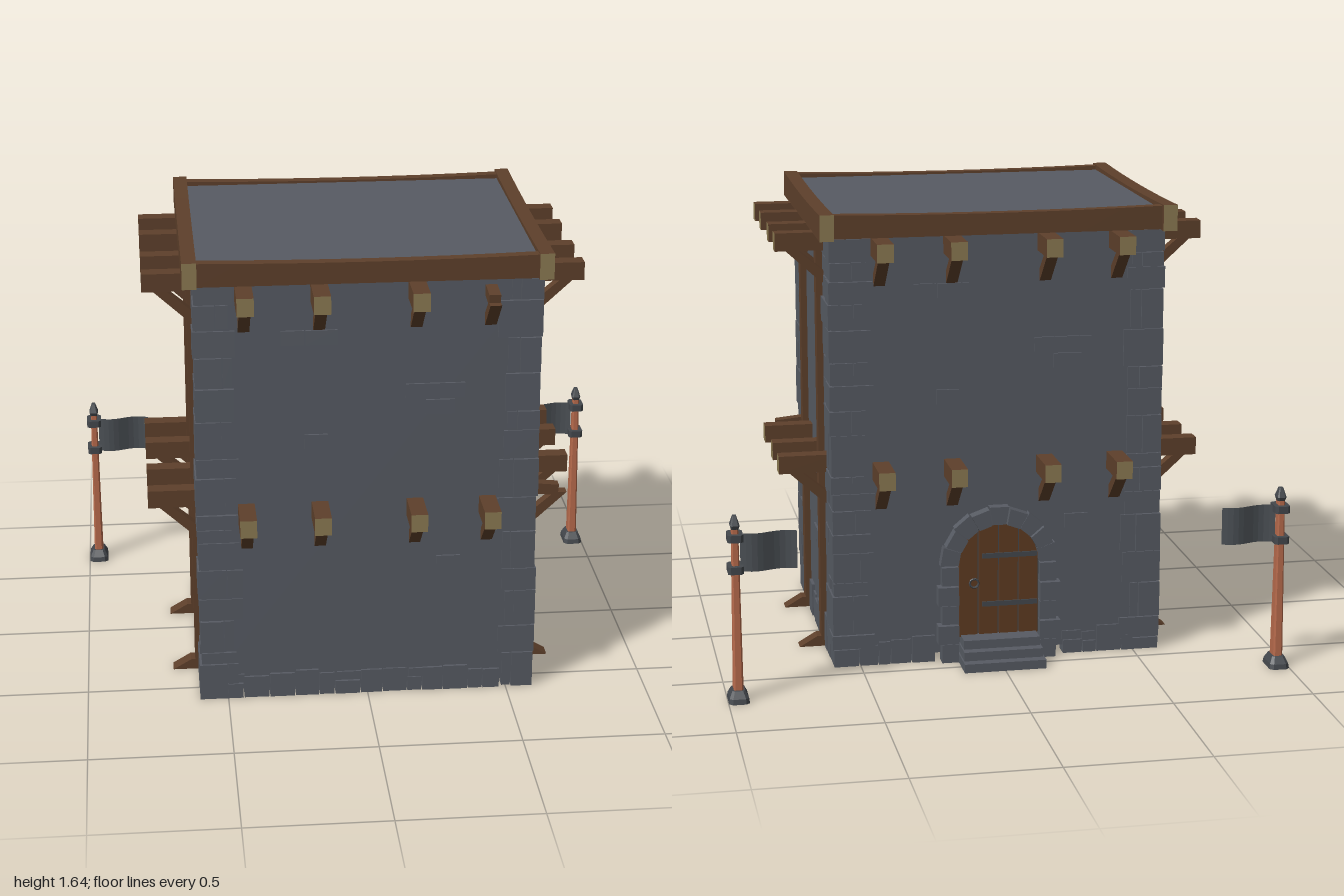
import * as THREE from 'three';

const mat = (name, color, side = THREE.FrontSide) => {
  const m = new THREE.MeshStandardMaterial({ color, side, flatShading: true });
  m.name = name;
  return m;
};

export function createModel() {
  const stone = mat('stone', 0x575b63);
  const wood = mat('wood', 0x5e402b);
  const endGrain = mat('end grain', 0x8c7a52);
  const doorWood = mat('door wood', 0x5f3b22);
  const poleWood = mat('pole wood', 0xb86b4c);
  const iron = mat('iron', 0x44484d);
  const cloth = mat('cloth', 0x4b5055, THREE.DoubleSide);

  const model = new THREE.Group();
  model.name = 'tower';
  let seed = 7;
  const rand = (a, b) => {
    seed = (seed * 16807) % 2147483647;
    return a + (b - a) * seed / 2147483647;
  };
  const add = (parent, name, geo, m, x = 0, y = 0, z = 0) => {
    const mesh = new THREE.Mesh(geo, m);
    mesh.name = name;
    mesh.position.set(x, y, z);
    parent.add(mesh);
    return mesh;
  };
  // Box given by its limits on each axis
  const box = (parent, name, m, x0, x1, y0, y1, z0, z1) =>
    add(parent, name, new THREE.BoxGeometry(Math.abs(x1 - x0), y1 - y0, Math.abs(z1 - z0)),
      m, (x0 + x1) / 2, (y0 + y1) / 2, (z0 + z1) / 2);
  const prism = (pts, depth) => new THREE.ExtrudeGeometry(
    new THREE.Shape(pts.map(p => new THREE.Vector2(p[0], p[1]))), { depth, bevelEnabled: false });
  const group = (name) => {
    const g = new THREE.Group();
    g.name = name;
    model.add(g);
    return g;
  };

  // Tower body and roof
  const X = 0.588, ZF = 0.583, ZB = -0.413;
  box(model, 'walls', stone, -X, X, 0.03, 1.56, ZB, ZF);
  box(model, 'roofDeck', stone, -0.59, 0.59, 1.55, 1.618, -0.41, 0.575);

  // Roof beams with a slight sag
  const roof = group('roofBeams');
  const roofBeam = (len, w, h, alongZ, x, y, z) => {
    const geo = new THREE.BoxGeometry(len, h, w, 8, 1, 1);
    const p = geo.attributes.position;
    for (let i = 0; i < p.count; i++) {
      const t = 2 * p.getX(i) / len;
      if (p.getY(i) > 0) p.setY(i, p.getY(i) - 0.008 * (1 - t * t));
    }
    if (alongZ) geo.rotateY(Math.PI / 2);
    // the first two face groups of a box are its ends
    add(roof, 'roofBeam', geo, [endGrain, endGrain, wood, wood, wood, wood], x, y, z);
  };
  for (const s of [-1, 1]) roofBeam(1.075, 0.05, 0.092, true, s * 0.605, 1.592, 0.077);
  roofBeam(1.17, 0.04, 0.083, false, 0, 1.592, 0.587);
  roofBeam(1.17, 0.04, 0.083, false, 0, 1.592, -0.422);

  // Projecting beams on braces; local +z points out of the wall
  const beams = group('supportBeams');
  const support = (x, y, z, turn, broken) => {
    const g = new THREE.Group();
    g.name = 'supportBeam';
    g.position.set(x, y, z);
    g.rotation.y = turn;
    beams.add(g);
    if (broken) {
      const stub = box(g, 'brokenBeam', wood, -0.02, 0.02, -0.035, 0.005, -0.04, 0.085);
      stub.rotation.x = 0.1;
    } else {
      add(g, 'beam', new THREE.BoxGeometry(0.058, 0.064, 0.21),
        [wood, wood, wood, wood, endGrain, wood], 0, 0, 0.045);
    }
    const geo = prism([[-0.02, -0.15], [0, -0.135], [0.115, -0.03], [0.07, -0.03], [-0.02, -0.105]], 0.04);
    geo.rotateY(-Math.PI / 2);
    add(g, 'brace', geo, wood, 0.02, 0, 0);
  };
  for (const y of [1.518, 0.717]) {
    for (const x of [-0.425, -0.168, 0.165, 0.42]) {
      support(x, y, 0.587, 0, y > 1 && x > 0.4);
      support(x, y, -0.42, Math.PI);
    }
    for (const z of [-0.25, -0.05, 0.21, 0.415]) {
      support(0.615, y, z, Math.PI / 2, y < 1 && z > 0.4);
      support(-0.615, y, z, -Math.PI / 2);
    }
  }

  // Side posts with wedge feet
  const posts = group('sidePosts');
  for (const s of [-1, 1]) for (const z of [0.32, -0.15]) {
    box(posts, 'post', wood, s * 0.57, s * 0.61, 0, 1.555, z - 0.028, z + 0.028);
    const pts = [[0.58, 0], [0.69, 0], [0.625, 0.038], [0.58, 0.038]].map(p => [s * p[0], p[1]]);
    add(posts, 'postFoot', prism(pts, 0.056), wood, 0, 0, z - 0.028);
  }

  // Corner stones, alternating long and short on each face
  const quoins = group('cornerStones');
  for (const sx of [-1, 1]) for (const sz of [-1, 1]) {
    const zc = sz > 0 ? ZF : ZB;
    let y = 0, k = 0;
    while (y < 1.54) {
      let h = rand(0.045, 0.15);
      if (y + h > 1.5) h = 1.55 - y;
      const long = k++ % 2;
      const wx = long ? rand(0.11, 0.15) : rand(0.06, 0.09);
      const wz = long ? rand(0.06, 0.09) : rand(0.13, 0.19);
      const ox = rand(0.004, 0.013), oz = rand(0.004, 0.013), top = y + h - 0.004;
      box(quoins, 'cornerStone', stone, sx * (X + ox), sx * (X - wx), y, top, zc + sz * oz, zc - sz * wz);
      if (long) box(quoins, 'sideStone', stone, sx * (X + 0.008), sx * (X - 0.03), y + 0.005, top,
        zc - sz * (wz + 0.004), zc - sz * (wz + rand(0.05, 0.1)));
      else box(quoins, 'faceStone', stone, sx * (X - wx - 0.004), sx * (X - wx - rand(0.03, 0.06)),
        y + 0.005, top, zc + sz * 0.007, zc - sz * 0.03);
      y += h;
    }
  }

  // Footing stones along every wall
  const footing = group('footingStones');
  for (const s of [-1, 1]) {
    const zc = s > 0 ? ZF : ZB;
    for (let x = -0.5; x < 0.47;) {
      const w = rand(0.04, 0.1), h = rand(0.04, 0.1);
      if (s > 0 || Math.abs(x + w / 2) > 0.24) {
        box(footing, 'footingStone', stone, x, x + w - 0.004, 0, h, zc + s * rand(0.006, 0.012), zc - s * 0.05);
        if (h < 0.07) box(footing, 'upperFootingStone', stone, x + 0.005, x + w, h + 0.003, h + 0.035,
          zc + s * 0.007, zc - s * 0.03);
      }
      x += w;
    }
    for (let z = -0.31; z < 0.47;) {
      const w = rand(0.05, 0.1);
      box(footing, 'footingStone', stone, s * (X + rand(0.006, 0.012)), s * (X - 0.05),
        0, rand(0.08, 0.145), z, z + w - 0.004);
      z += w;
    }
  }

  // Loose bricks showing in the walls: along, height, width
  const bricks = group('wallBricks');
  const faceBricks = [[-0.26, 1.355, 0.08], [-0.16, 1.355, 0.11], [0.18, 1.15, 0.1], [0.275, 1.15, 0.12],
    [0.25, 1.09, 0.1], [-0.18, 0.975, 0.08], [0.285, 0.5, 0.085]];
  const sideBricks = [[0.08, 0.36, 0.08], [0.005, 0.36, 0.06], [-0.065, 0.92, 0.08], [-0.095, 0.98, 0.06],
    [-0.095, 1.3, 0.06], [-0.08, 1.36, 0.08], [0.39, 0.88, 0.04]];
  for (const s of [-1, 1]) {
    const zc = s > 0 ? ZF : ZB;
    for (const [a, y, w] of faceBricks)
      box(bricks, 'brick', stone, s * a - w / 2, s * a + w / 2, y - 0.026, y + 0.026, zc - s * 0.02, zc + s * 0.008);
    for (const [a, y, w] of sideBricks)
      box(bricks, 'brick', stone, s * (X - 0.02), s * (X + 0.008), y - 0.026, y + 0.026, a - w / 2, a + w / 2);
  }

  // Arched doorway on the back wall
  const door = group('doorway');
  const R = 0.148, RO = 0.208, SPRING = 0.36;
  for (const s of [-1, 1]) for (let i = 0; i < 5; i++)
    box(door, 'jambStone', stone, s * R, s * (RO + (i % 2) * 0.015), i * 0.072, i * 0.072 + 0.068,
      -0.4, -0.45 - (i % 2) * 0.008);
  for (let i = 0; i < 9; i++) {
    const a = i * Math.PI / 9 + 0.01, b = (i + 1) * Math.PI / 9 - 0.01, o = RO + (i % 2 ? 0 : 0.006);
    const pt = (r, t) => [r * Math.cos(t), r * Math.sin(t)];
    add(door, 'archStone', prism([pt(R, a), pt(o, a), pt(o, b), pt(R, b)], 0.05 + (i % 2) * 0.008),
      stone, 0, SPRING, -0.45 - (i % 2) * 0.008);
  }
  const archPiece = (x0, x1, r) => {
    const pts = [[x0, 0.09], [x1, 0.09]];
    for (let i = 0; i <= 6; i++) {
      const x = x1 + (x0 - x1) * i / 6;
      pts.push([x, SPRING + Math.sqrt(Math.max(0, r * r - x * x))]);
    }
    return pts;
  };
  add(door, 'doorBacking', prism(archPiece(-R, R, R), 0.009), iron, 0, 0, -0.42);
  for (let i = 0; i < 4; i++) {
    const x0 = -0.146 + i * 0.073;
    add(door, 'doorPlank', prism(archPiece(x0 + 0.003, x0 + 0.07, 0.146), 0.02), doorWood, 0, 0, -0.432);
  }
  for (const y of [0.2, 0.38]) box(door, 'doorStrap', iron, -0.14, 0.06, y, y + 0.018, -0.437, -0.431);
  add(door, 'doorRing', new THREE.TorusGeometry(0.016, 0.004, 5, 10), iron, 0.09, 0.29, -0.438);
  for (let i = 0; i < 3; i++)
    box(door, 'step', stone, -0.138 - (2 - i) * 0.005, 0.138 + (2 - i) * 0.005, i * 0.032, i * 0.032 + 0.032, -0.4, -0.57 + i * 0.035);

  // Tapered block with cut corners, standing on y = 0
  const block = (hx, hz, h, taper = 1) => {
    const c = hx * 0.35;
    const geo = prism([[hx, -hz + c], [hx, hz - c], [hx - c, hz], [c - hx, hz],
      [-hx, hz - c], [-hx, c - hz], [c - hx, -hz], [hx - c, -hz]], h);
    geo.rotateX(-Math.PI / 2);
    const p = geo.attributes.position;
    for (let i = 0; i < p.count; i++) if (p.getY(i) > h / 2) {
      p.setX(i, p.getX(i) * taper);
      p.setZ(i, p.getZ(i) * taper);
    }
    geo.computeVertexNormals();
    return geo;
  };

  // Two banner poles behind the tower
  for (const s of [-1, 1]) {
    const g = group(s > 0 ? 'leftBanner' : 'rightBanner');
    g.position.set(s * 0.963, 0, -0.685);
    add(g, 'poleBase', block(0.036, 0.055, 0.018, 0.93), iron);
    add(g, 'poleBaseTop', block(0.0335, 0.051, 0.024, 0.66), iron, 0, 0.018);
    add(g, 'pole', block(0.017, 0.026, 0.58, 0.68), poleWood, 0, 0.04);
    for (const y of [0.46, 0.572]) add(g, 'poleBracket', block(0.027, 0.038, 0.026), iron, 0, y);
    add(g, 'finialLower', block(0.012, 0.017, 0.015, 1.35), iron, 0, 0.612);
    add(g, 'finialTip', block(0.0165, 0.024, 0.033, 0.4), iron, 0, 0.627);
    // waving cloth
    const geo = new THREE.PlaneGeometry(0.195, 0.135, 10, 1);
    const p = geo.attributes.position;
    for (let i = 0; i < p.count; i++) p.setZ(i, 0.012 * Math.sin((p.getX(i) / 0.195 + 0.5) * Math.PI * 2));
    geo.computeVertexNormals();
    add(g, 'flag', geo, cloth, -s * 0.115, 0.528, 0);
  }
  return model;
}
